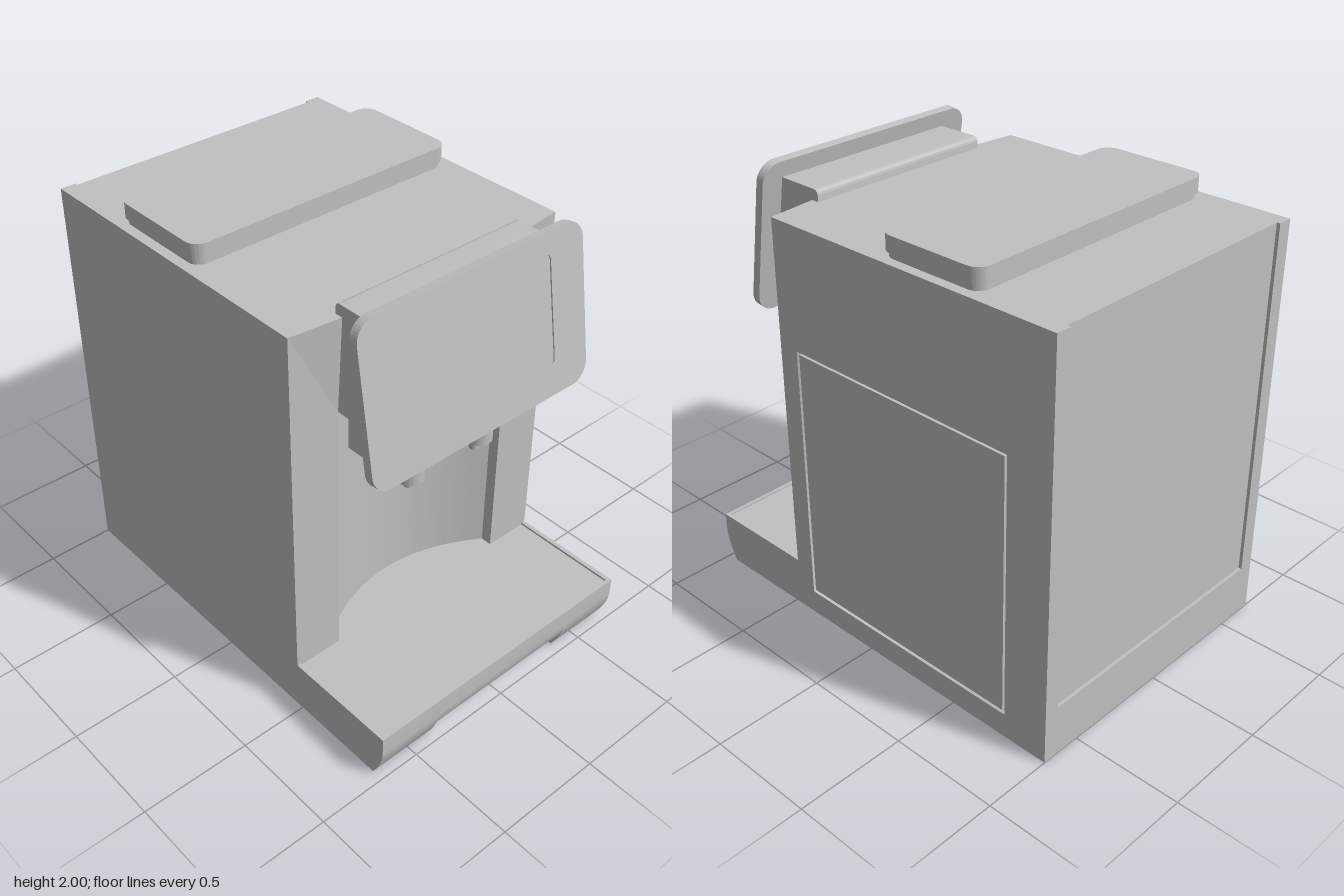
import * as THREE from 'three';
import { toCreasedNormals } from 'three/addons/utils/BufferGeometryUtils.js';
import { ConvexGeometry } from 'three/addons/geometries/ConvexGeometry.js';

const grey = new THREE.MeshStandardMaterial({ color: 0xc0c0c0 });
grey.name = 'light grey';

const poly = (pts) => new THREE.Shape(pts.map(([a, b]) => new THREE.Vector2(a, b)));

function roundedRect(x0, y0, x1, y1, r, path = new THREE.Shape()) {
  path.moveTo(x0 + r, y0);
  path.absarc(x1 - r, y0 + r, r, -Math.PI / 2, 0);
  path.absarc(x1 - r, y1 - r, r, 0, Math.PI / 2);
  path.absarc(x0 + r, y1 - r, r, Math.PI / 2, Math.PI);
  path.absarc(x0 + r, y0 + r, r, Math.PI, Math.PI * 1.5);
  return path;
}

function extrude(shape, depth) {
  return new THREE.ExtrudeGeometry(shape, { depth, bevelEnabled: false, curveSegments: 16 });
}

// Footprint drawn as (x, -z), raised from y0 to y1
const upright = (shape, y0, y1) => extrude(shape, y1 - y0).rotateX(-Math.PI / 2).translate(0, y0, 0);
// Side profile drawn as (-z, y), swept from x0 to x1
const sideways = (shape, x0, x1) => extrude(shape, x1 - x0).rotateY(Math.PI / 2).translate(x0, 0, 0);

export function createModel() {
  const model = new THREE.Group();
  model.name = 'drinkMachine';

  function add(name, geometry, parent = model) {
    const mesh = new THREE.Mesh(toCreasedNormals(geometry, 0.5), grey);
    mesh.name = name;
    parent.add(mesh);
    return mesh;
  }
  function box(name, x0, x1, y0, y1, z0, z1) {
    add(name, new THREE.BoxGeometry(x1 - x0, y1 - y0, z1 - z0)
      .translate((x0 + x1) / 2, (y0 + y1) / 2, (z0 + z1) / 2));
  }

  const W = 0.69, INNER = 0.67, BACK = -0.985, FRONT = 0.472;
  const FLOOR = 0.225, RIM = 0.235, TOP = 1.87, NICHE = 0.46, CEILING = 1.44;

  // Base with curved toe and a finger notch in the middle
  function baseProfile(notched) {
    const s = new THREE.Shape();
    s.moveTo(-BACK, 0);
    s.lineTo(-BACK, FLOOR);
    s.lineTo(-1, FLOOR);
    s.lineTo(-1, 0.15);
    if (notched) {
      s.quadraticCurveTo(-0.998, 0.12, -0.985, 0.092);
      s.lineTo(-0.92, 0.092);
      s.lineTo(-0.92, 0);
    } else {
      s.quadraticCurveTo(-0.998, 0.09, -0.945, 0);
    }
    return s;
  }
  add('baseRight', sideways(baseProfile(false), -W, -0.38));
  add('baseMiddle', sideways(baseProfile(true), -0.38, 0.38));
  add('baseLeft', sideways(baseProfile(false), 0.38, INNER));

  // Raised rim of the drip tray
  box('trayFrontRim', -W, INNER, FLOOR, RIM, 0.985, 1);
  box('traySideRim', -W, -INNER, FLOOR, RIM, FRONT, 0.985);

  // Body with concave niche, and solid upper body
  const niche = poly([[-W, -BACK], [-W, -FRONT], [-NICHE, -FRONT], [-NICHE, -0.42]]);
  niche.quadraticCurveTo(0, -0.12, NICHE, -0.42);
  niche.lineTo(NICHE, -FRONT);
  niche.lineTo(INNER, -FRONT);
  niche.lineTo(INNER, -BACK);
  add('nicheBody', upright(niche, FLOOR, CEILING));
  box('upperBody', -W, INNER, CEILING, TOP, BACK, FRONT);

  // Slight forward swell at the top of each front column
  for (const s of [-1, 1]) {
    add('columnSwell', new ConvexGeometry([
      new THREE.Vector3(s * W, TOP, FRONT), new THREE.Vector3(s * NICHE, TOP, 0.497),
      new THREE.Vector3(s * NICHE, CEILING, FRONT), new THREE.Vector3(s * NICHE, TOP, FRONT),
    ]));
  }

  // Left wall with an opening, and the access panel set in it
  const wall = new THREE.Shape();
  wall.moveTo(1, 0);
  wall.lineTo(1, TOP);
  wall.lineTo(-FRONT, TOP);
  wall.lineTo(-FRONT, RIM);
  wall.lineTo(-1, RIM);
  wall.lineTo(-1, 0.15);
  wall.quadraticCurveTo(-0.998, 0.09, -0.945, 0);
  wall.holes.push(roundedRect(-0.372, 0.113, 0.785, 1.317, 0.004, new THREE.Path()));
  add('leftWall', sideways(wall, INNER, W));
  box('accessPanel', INNER, W - 0.002, 0.127, 1.305, -0.772, 0.36);

  // Frame around the recessed back panel, open at the top
  const frame = poly([[-W, 0], [INNER, 0], [INNER, TOP], [0.62, TOP], [0.62, 0.235],
    [-0.62, 0.235], [-0.62, TOP], [-W, TOP]]);
  add('backFrame', extrude(frame, 0.015).translate(0, 0, -1));

  // Lid on a slightly smaller neck
  add('lidNeck', upright(roundedRect(-0.645, 0.12, 0.645, 0.605, 0.055), TOP, 1.895));
  add('lid', upright(roundedRect(-0.655, 0.11, 0.655, 0.615, 0.06), 1.895, 1.965));

  // Head that carries the display
  const head = poly([[-0.46, CEILING], [-0.765, CEILING], [-0.685, 1.92], [-0.485, 1.92]]);
  head.quadraticCurveTo(-0.462, 1.92, -0.46, 1.895);
  add('head', sideways(head, -NICHE, NICHE));

  // Tilted display: slab, bezel and sunken screen
  const display = new THREE.Group();
  display.name = 'display';
  display.position.set(-0.015, 1.655, 0.765);
  display.rotation.x = -0.164;
  model.add(display);
  const outline = () => roundedRect(-0.575, -0.347, 0.575, 0.347, 0.085);
  add('displaySlab', extrude(outline(), 0.034).translate(0, 0, -0.04), display);
  const bezel = outline();
  bezel.holes.push(roundedRect(-0.393, -0.21, 0.393, 0.258, 0.025, new THREE.Path()));
  add('displayBezel', extrude(bezel, 0.006).translate(0, 0, -0.006), display);

  // Spout block: two rounded legs joined by a set-back middle
  const mid = -0.03, spout = new THREE.Shape();
  spout.moveTo(mid - 0.25, -0.26);
  spout.lineTo(mid - 0.25, -0.62);
  spout.absarc(mid - 0.19, -0.62, 0.06, Math.PI, Math.PI * 2);
  spout.lineTo(mid - 0.13, -0.56);
  spout.lineTo(mid + 0.13, -0.56);
  spout.lineTo(mid + 0.13, -0.62);
  spout.absarc(mid + 0.19, -0.62, 0.06, Math.PI, Math.PI * 2);
  spout.lineTo(mid + 0.25, -0.26);
  add('spoutBlock', upright(spout, 1.09, CEILING + 0.005));

  // Nozzles
  for (const [x, z] of [[-0.215, 0.613], [-0.033, 0.51], [0.15, 0.613]]) {
    add('nozzle', new THREE.CylinderGeometry(0.023, 0.023, 0.055, 20).translate(x, 1.07, z));
  }
  return model;
}
